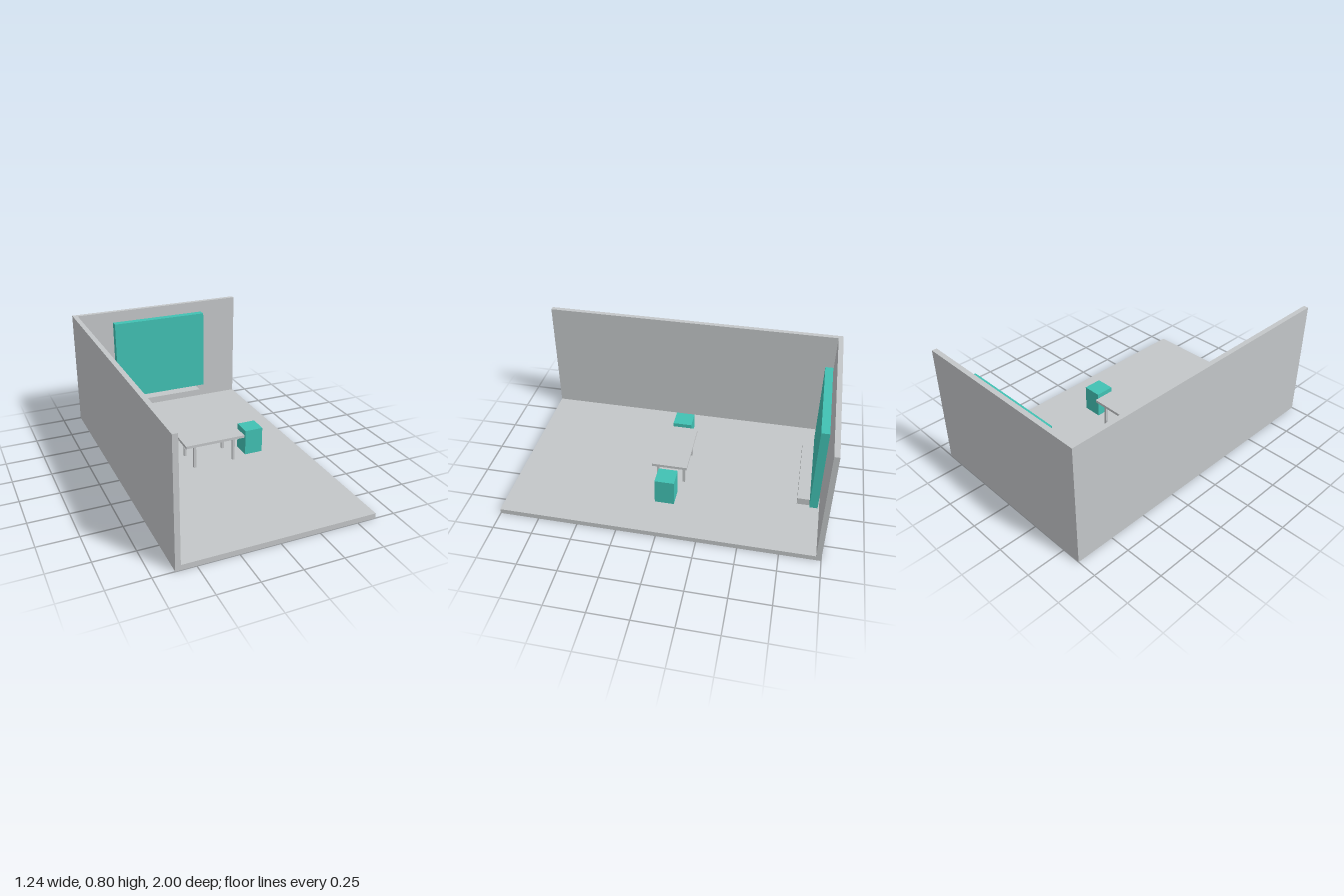
import * as THREE from 'three';

export function createModel() {
  const group = new THREE.Group();
  const grey = new THREE.MeshStandardMaterial({ color: 0xc3c6c8 });
  grey.name = 'light grey';
  const teal = new THREE.MeshStandardMaterial({ color: 0x41c1b3 });
  teal.name = 'teal';

  // Box given by its lower and upper limits on each axis
  function box(name, material, [x0, x1], [y0, y1], [z0, z1], parent = group) {
    const mesh = new THREE.Mesh(new THREE.BoxGeometry(x1 - x0, y1 - y0, z1 - z0), material);
    mesh.position.set((x0 + x1) / 2, (y0 + y1) / 2, (z0 + z1) / 2);
    mesh.name = name;
    parent.add(mesh);
    return mesh;
  }

  // Room shell: floor with two walls standing on it
  const floorTop = 0.033;
  box('floor', grey, [-0.622, 0.622], [0, floorTop], [-1, 1]);
  box('sideWall', grey, [-0.622, -0.59], [floorTop, 0.8], [-1, 1]);
  box('backWall', grey, [-0.59, 0.622], [floorTop, 0.8], [-1, -0.968]);

  // Panel and low shelf at the back wall
  box('wallPanel', teal, [-0.343, 0.341], [0.15, 0.727], [-0.95, -0.9]);
  box('shelf', grey, [-0.282, 0.275], [0.103, 0.149], [-0.93, -0.825]);

  // Table
  const table = new THREE.Group();
  table.name = 'table';
  group.add(table);
  box('tableTop', grey, [-0.205, 0.203], [0.19, 0.208], [-0.113, 0.113].map(z => z - 0.001), table);
  for (const x of [-0.138, 0.135]) {
    for (const z of [-0.085, 0.087]) {
      box('tableLeg', grey, [x - 0.008, x + 0.008], [floorTop, 0.19], [z - 0.008, z + 0.008], table);
    }
  }

  // Block seats at both ends of the table
  for (const x of [-0.302, 0.299]) {
    box('seat', teal, [x - 0.062, x + 0.062], [floorTop, 0.207], [-0.063, 0.061]);
  }

  return group;
}
